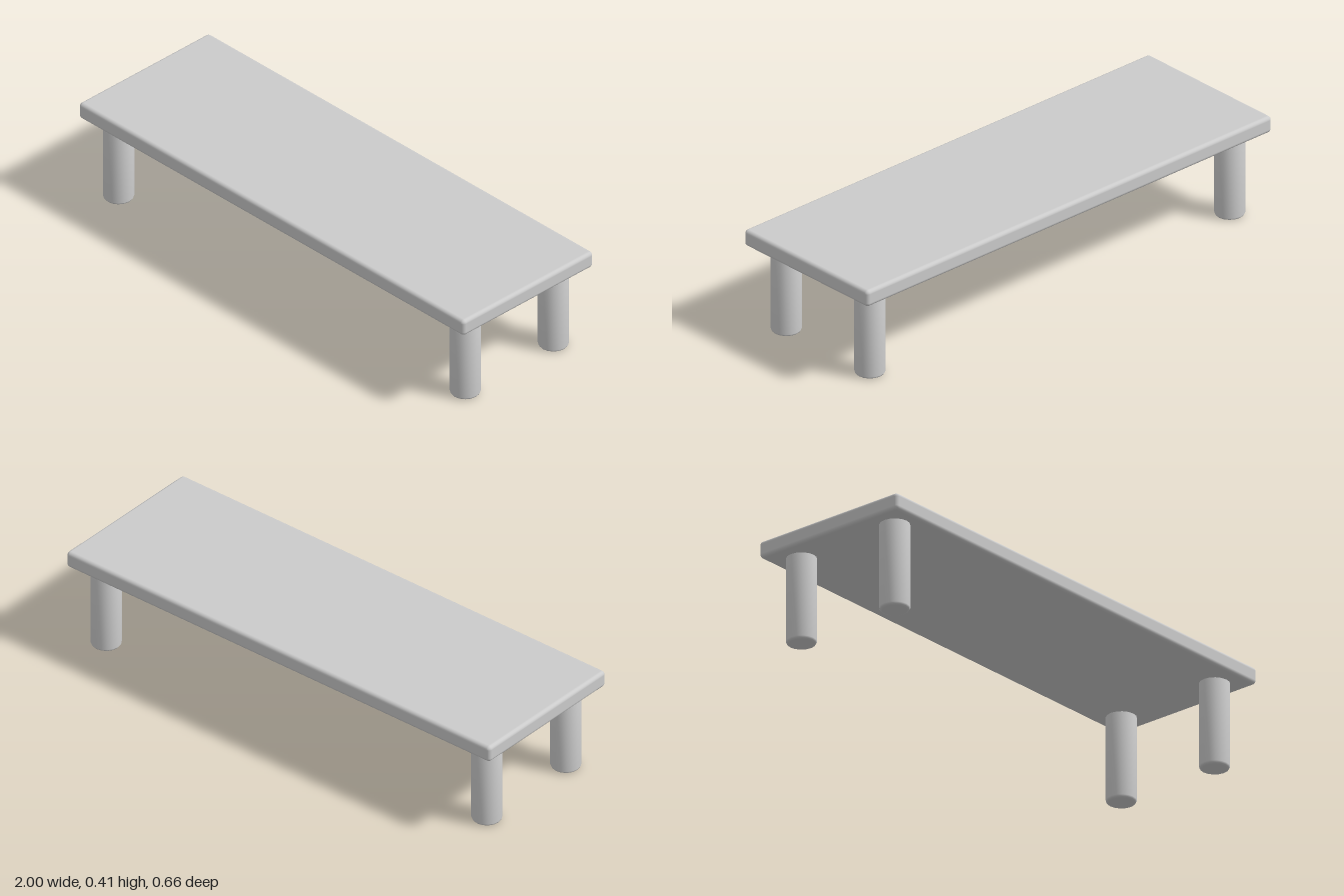
import * as THREE from 'three';
import { RoundedBoxGeometry } from 'three/addons/geometries/RoundedBoxGeometry.js';

export function createModel() {
  const group = new THREE.Group();
  const material = new THREE.MeshStandardMaterial({ color: 0xcccccc });

  // Long slab with softly rounded edges
  const top = new THREE.Mesh(new RoundedBoxGeometry(2, 0.066, 0.66, 3, 0.015), material);
  top.name = 'tableTop';
  top.position.y = 0.374;
  group.add(top);

  // Round leg with a bevelled foot, its upper end set into the slab
  const r = 0.057;
  const profile = [[0, 0], [r - 0.012, 0], [r - 0.004, 0.003], [r, 0.01], [r, 0.35], [0, 0.35]]
    .map(([x, y]) => new THREE.Vector2(x, y));
  const legGeometry = new THREE.LatheGeometry(profile, 16);

  // Four legs; the two pairs are slightly staggered front to back
  for (const sx of [-1, 1]) {
    for (const sz of [-1, 1]) {
      const leg = new THREE.Mesh(legGeometry, material);
      leg.name = (sz > 0 ? 'front' : 'back') + (sx > 0 ? 'Left' : 'Right') + 'Leg';
      leg.position.set(sx * 0.894, 0, sz * 0.223 - sx * 0.006);
      group.add(leg);
    }
  }
  return group;
}
